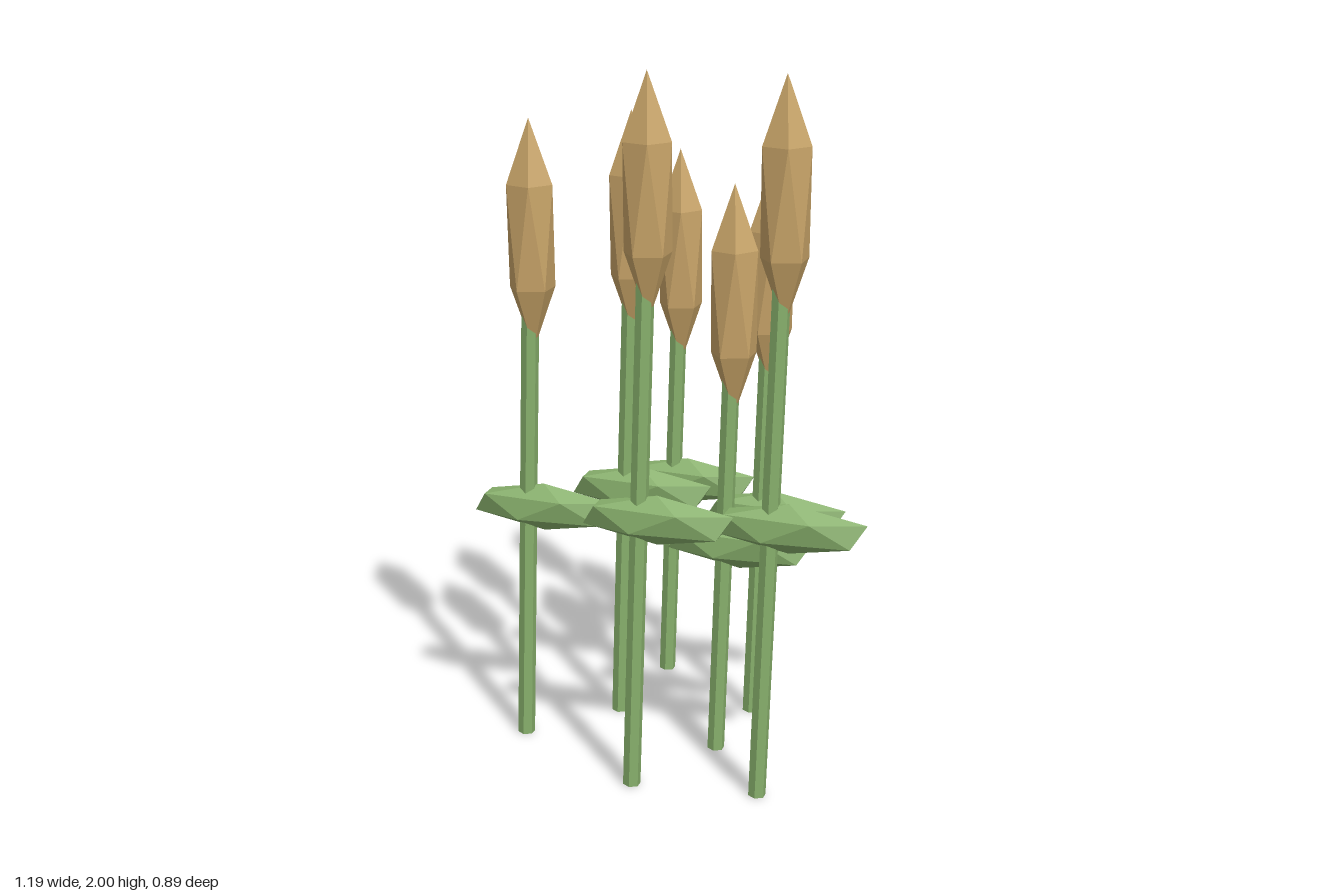
import * as THREE from 'three';

const green = new THREE.MeshStandardMaterial({ color: 0x88b06c, flatShading: true });
green.name = 'reedGreen';
const tan = new THREE.MeshStandardMaterial({ color: 0xc8a468, flatShading: true });
tan.name = 'seedHeadTan';

// Stretched icosahedron standing on a corner, upper ring pointing to +x
function gem(rx, ry, rz) {
  const g = new THREE.IcosahedronGeometry(1, 0);
  g.rotateX(-Math.atan2((1 + Math.sqrt(5)) / 2, 1));
  g.rotateY(Math.PI / 2);
  g.scale(rx, ry, rz);
  return g;
}

const headGeometry = gem(0.074, 0.325, 0.074);
const leafGeometry = gem(0.238, 0.07, 0.054);
const LEAN = 0.035;

// Head position x, z and height of the head's centre
const REEDS = [
  [-0.15, -0.385, 1.345],
  [0.187, -0.17, 1.345],
  [-0.188, -0.055, 1.505],
  [0.157, 0.1, 1.345],
  [-0.405, 0.168, 1.505],
  [0.006, 0.382, 1.675],
  [0.36, 0.34, 1.675],
];

function part(name, geometry, material, x, y) {
  const mesh = new THREE.Mesh(geometry, material);
  mesh.name = name;
  mesh.position.set(x, y, 0);
  return mesh;
}

function createReed(x, z, headY) {
  const reed = new THREE.Group();
  reed.name = 'reed';
  reed.position.set(x, 0, z);

  // Six-sided stem leaning slightly to +x, ending inside the head
  const stem = part('stem', new THREE.CylinderGeometry(0.025, 0.025, headY, 6), green,
    -headY * LEAN / 2, headY / 2);
  stem.rotation.z = -LEAN;
  reed.add(stem);

  // Level leaf and upright seed head
  reed.add(part('leaf', leafGeometry, green, 0.021, headY * 0.477));
  reed.add(part('seedHead', headGeometry, tan, 0, headY));
  return reed;
}

export function createModel() {
  const model = new THREE.Group();
  model.name = 'reedCluster';
  for (const [x, z, headY] of REEDS) model.add(createReed(x, z, headY));
  return model;
}
